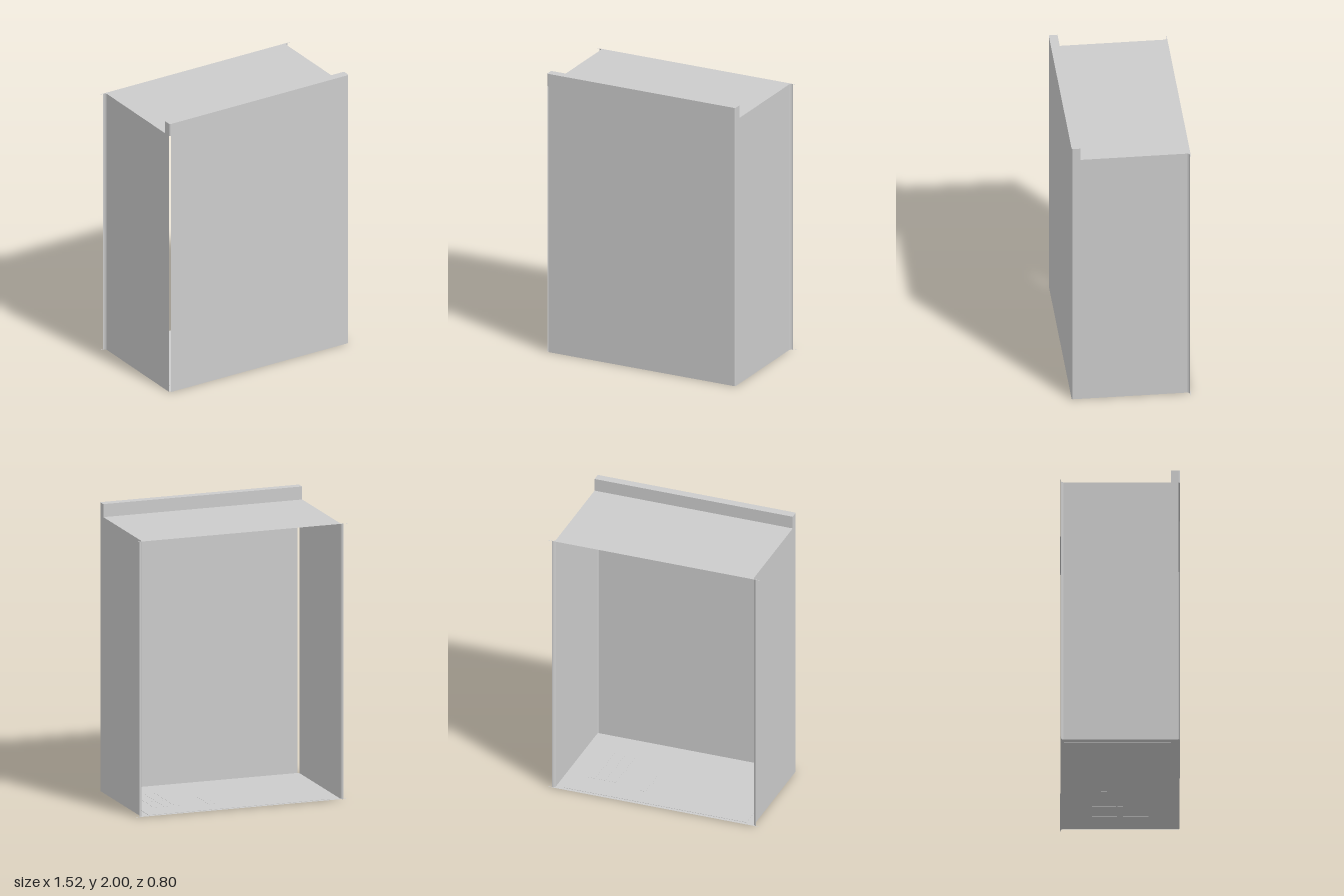
import * as THREE from 'three';

const material = new THREE.MeshStandardMaterial({ color: 0xcccccc, side: THREE.DoubleSide });
const HEIGHT = 2, ROOF = 1.91;      // lip top and roof level
const W = 0.715, F = 0.4, B = -0.4; // half width, front and back planes
const R = 0.01, FILLET = 0.02;      // front corner and flange bend radii

// Points of a plan-view arc (x, z)
function arc(cx, cz, r, from, to, n = 6) {
  return Array.from({ length: n + 1 }, (_, i) => {
    const a = from + (to - from) * i / n;
    return new THREE.Vector2(cx + r * Math.cos(a), cz + r * Math.sin(a));
  });
}

const mirror = (points) => points.map((p) => new THREE.Vector2(-p.x, p.y)).reverse();

function add(group, name, geometry) {
  const mesh = new THREE.Mesh(geometry, material);
  mesh.name = name;
  group.add(mesh);
  return mesh;
}

// Vertical sheet following a plan-view path
function wallSheet(path, y0, y1) {
  const pos = [];
  for (let i = 0; i + 1 < path.length; i++) {
    const a = path[i], b = path[i + 1];
    pos.push(a.x, y0, a.y, b.x, y1, b.y, b.x, y0, b.y);
    pos.push(a.x, y0, a.y, a.x, y1, a.y, b.x, y1, b.y);
  }
  const g = new THREE.BufferGeometry();
  g.setAttribute('position', new THREE.Float32BufferAttribute(pos, 3));
  g.computeVertexNormals();
  return g;
}

// Horizontal plate between two heights, from a plan-view outline
function plate(points, y0, y1) {
  const g = new THREE.ExtrudeGeometry(new THREE.Shape(points), { depth: y1 - y0, bevelEnabled: false });
  return g.rotateX(Math.PI / 2).translate(0, y1, 0);
}

export function createModel() {
  const group = new THREE.Group();

  // Plan profile of one side: front corner, wall, outward bend
  const corner = arc(W - R, F - R, R, Math.PI / 2, 0);
  const bend = arc(W + FILLET, B + FILLET, FILLET, Math.PI, Math.PI * 1.5);
  const side = [new THREE.Vector2(W, F - R), ...bend];

  // Front panel and side walls; one front corner is left as an open seam
  add(group, 'frontPanel', wallSheet([new THREE.Vector2(-W + R, F), ...corner], 0, ROOF));
  add(group, 'leftWall', wallSheet(side, 0, ROOF));
  add(group, 'rightWall', wallSheet(mirror(side), 0, ROOF));

  // Roof and floor share an outline with thin flange tips at the back
  const half = [...corner, ...bend, new THREE.Vector2(0.76, B), new THREE.Vector2(0.76, B - 0.004)];
  const outline = [...half, ...mirror(half)];
  for (const [name, y] of [['roof', ROOF], ['floor', 0.003]]) {
    const g = new THREE.ShapeGeometry(new THREE.Shape(outline));
    add(group, name, g.rotateX(Math.PI / 2).translate(0, y, 0));
  }

  // Raised lip along the top front edge
  const lipHalf = [...corner, new THREE.Vector2(W, 0.34)];
  add(group, 'topLip', plate([...lipHalf, ...mirror(lipHalf)], ROOF, HEIGHT));

  // Inset floor panel and its narrow slot covers, each with a small tab
  const box = (name, x, z, w, d, h) => {
    add(group, name, new THREE.BoxGeometry(w, h, d)).position.set(x, 0.003, z);
  };
  box('floorPanel', 0, -0.02, 1.32, 0.72, 0.004);
  for (const [x, z, length] of [[0.53, 0, 0.38], [0.455, 0, 0.38], [0.38, 0, 0.38], [0.15, -0.11, 0.25]]) {
    box('slotCover', x, z, 0.045, length, 0.006);
    box('slotTab', x - 0.026, z, 0.012, 0.04, 0.006);
  }
  return group;
}
